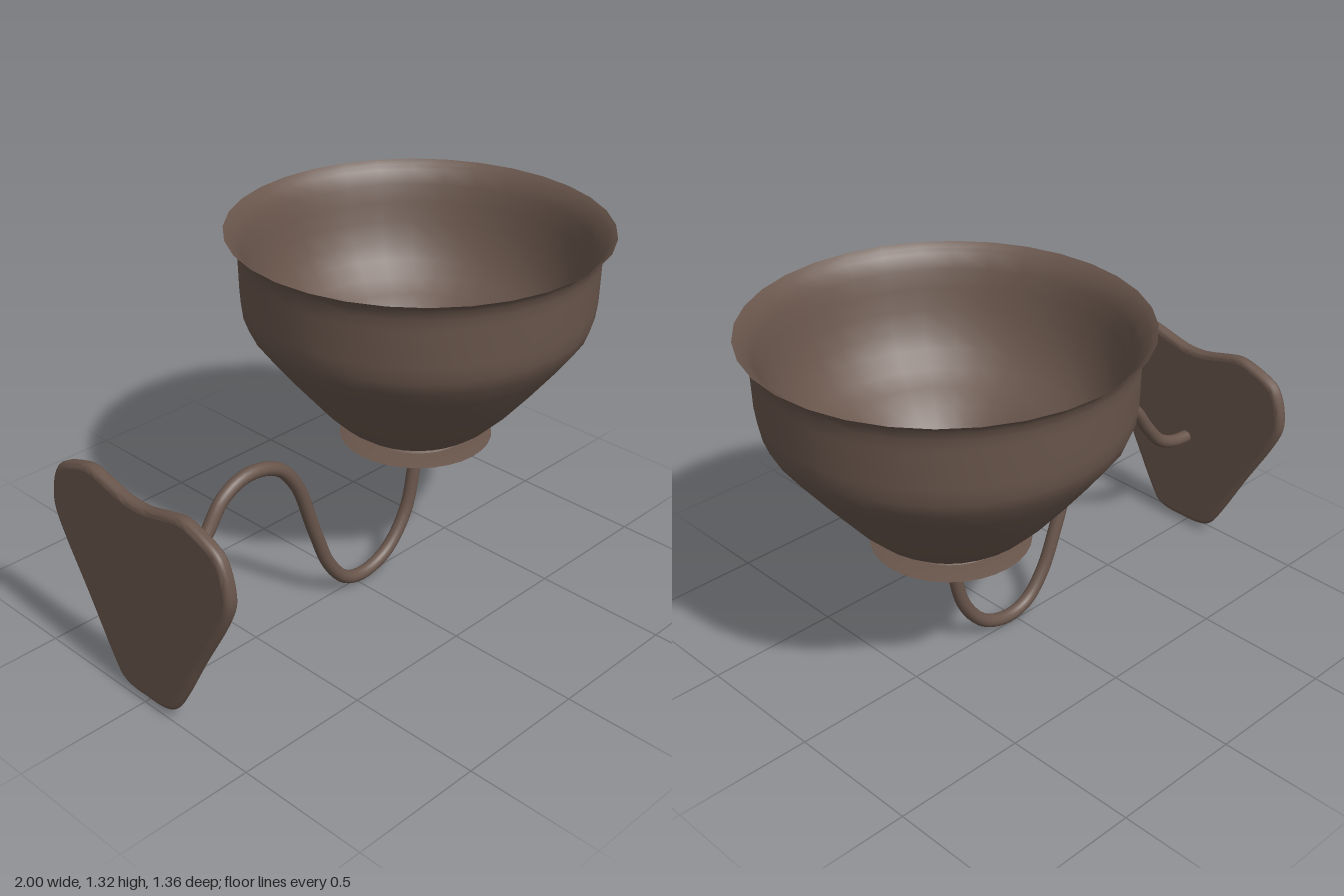
import * as THREE from 'three';
import { toCreasedNormals } from 'three/addons/utils/BufferGeometryUtils.js';

const BOWL_X = 0.317;

export function createModel() {
  const model = new THREE.Group();
  const bronze = new THREE.MeshStandardMaterial({ color: 0x68554b, side: THREE.DoubleSide });
  bronze.name = 'bronze';

  const add = (name, geometry, x = 0, y = 0, z = 0) => {
    const mesh = new THREE.Mesh(geometry, bronze);
    mesh.name = name;
    mesh.position.set(x, y, z);
    model.add(mesh);
  };
  const lathe = (points) =>
    new THREE.LatheGeometry(points.map(([r, y]) => new THREE.Vector2(r, y)), 32, Math.PI / 2);

  // Shield-shaped wall plate: half outline, mirrored, with rounded edges
  const half = [
    [0.08, 0.022], [0.13, 0.04], [0.165, 0.085], [0.29, 0.31], [0.405, 0.51], [0.437, 0.59],
    [0.437, 0.65], [0.416, 0.725], [0.385, 0.768], [0.27, 0.816], [0.22, 0.824], [0.16, 0.812],
    [0.05, 0.785],
  ];
  const outline = [
    [0, 0.02], ...half, [0, 0.782],
    ...half.slice().reverse().map(([z, y]) => [-z, y]),
  ].map(([z, y]) => new THREE.Vector3(z, y, 0));
  const edge = new THREE.CatmullRomCurve3(outline, true).getPoints(84).slice(0, -1);
  const raw = new THREE.ExtrudeGeometry(
    new THREE.Shape(edge.map((p) => new THREE.Vector2(p.x, p.y))),
    { depth: 0.006, bevelThickness: 0.022, bevelSize: 0.022, bevelOffset: -0.022, bevelSegments: 4 }
  );
  const lidCount = raw.groups[0].count;
  const plate = toCreasedNormals(raw, 0.8);
  // Keep the two broad faces flat
  const pos = plate.attributes.position;
  for (let i = 0; i < lidCount; i++) {
    plate.attributes.normal.setXYZ(i, 0, 0, pos.getZ(i) > 0.003 ? 1 : -1);
  }
  plate.rotateY(-Math.PI / 2);
  add('wallPlate', plate, -0.972, 0, 0.01);

  // S-shaped arm from the plate to the bowl
  const path = [
    [-0.955, 0.4], [-0.88, 0.408], [-0.79, 0.447], [-0.71, 0.535], [-0.63, 0.64], [-0.525, 0.683],
    [-0.39, 0.652], [-0.3, 0.55], [-0.215, 0.32], [-0.145, 0.15], [-0.06, 0.052], [0.035, 0.028],
    [0.155, 0.068], [0.255, 0.19], [0.3, 0.36], [0.318, 0.53],
  ].map(([x, y]) => new THREE.Vector3(x, y, 0.01));
  add('arm', new THREE.TubeGeometry(new THREE.CatmullRomCurve3(path), 80, 0.025, 14));

  // Thin dish under the bowl, with a collar above it
  add('dishTop', lathe([[0.28, 0.517], [0.2, 0.533], [0, 0.535]]), BOWL_X);
  add('dishBottom', lathe([[0, 0.514], [0.28, 0.517]]), BOWL_X);
  add('collar', new THREE.CylinderGeometry(0.195, 0.205, 0.006, 32), BOWL_X, 0.537);
  add('neck', new THREE.CylinderGeometry(0.1, 0.1, 0.02, 32), BOWL_X, 0.545);

  // Bowl: outer wall with flared rim
  add('bowlOutside', lathe([
    [0, 0.547], [0.14, 0.548], [0.2, 0.553], [0.245, 0.567], [0.29, 0.6], [0.36, 0.67],
    [0.46, 0.79], [0.55, 0.905], [0.605, 0.98], [0.623, 1.03], [0.63, 1.09], [0.633, 1.22],
    [0.636, 1.26], [0.645, 1.29], [0.659, 1.31], [0.679, 1.325],
  ]), BOWL_X);

  // Bowl: inner wall sloping in from the rim to a soft shelf and a sunken floor
  add('bowlInside', lathe([
    [0.679, 1.325], [0.643, 1.295], [0.62, 1.245], [0.603, 1.18], [0.585, 1.11], [0.56, 1.04],
    [0.525, 0.975], [0.48, 0.92], [0.42, 0.875], [0.36, 0.835], [0.3, 0.775],
    [0.25, 0.715], [0.2, 0.675], [0.13, 0.65], [0, 0.645],
  ]), BOWL_X);

  return model;
}
